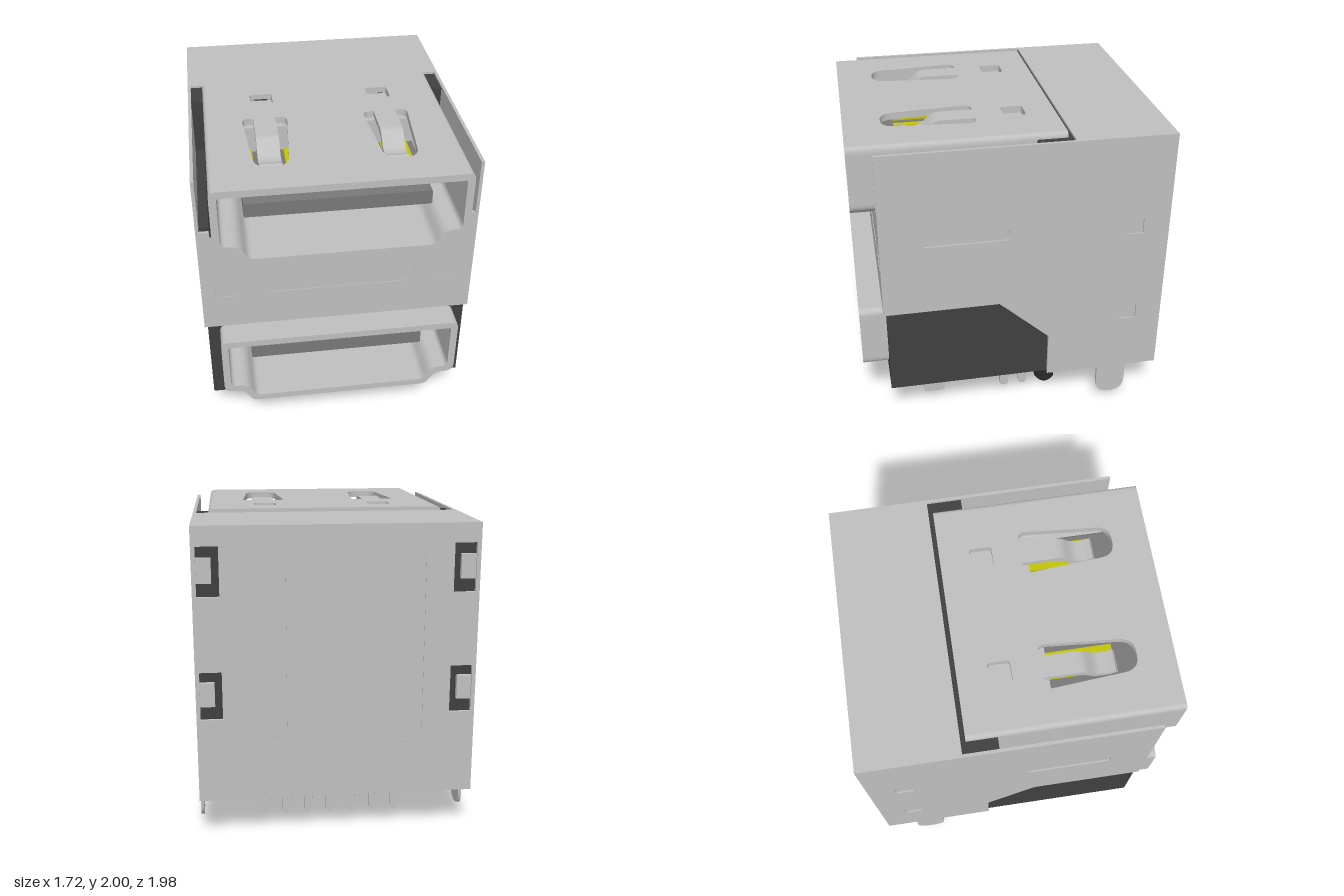
import * as THREE from 'three';

export function createModel() {
  const root = new THREE.Group();
  root.name = 'stackedConnector';
  const mat = (name, color) => {
    const m = new THREE.MeshStandardMaterial({ color });
    m.name = name;
    return m;
  };
  const metal = mat('silver metal', 0xbfbfbf);
  const dark = mat('dark plastic', 0x404040);
  const black = mat('black peg plastic', 0x2b2b2b);
  const grey = mat('grey tongue plastic', 0x787878);
  const gold = mat('yellow contact', 0xc2c20c);

  const add = (name, geo, material, x = 0, y = 0, z = 0) => {
    const m = new THREE.Mesh(geo, material);
    m.name = name;
    m.position.set(x, y, z);
    root.add(m);
    return m;
  };
  // Box given by its limits on each axis
  const box = (name, material, x0, x1, y0, y1, z0, z1) =>
    add(name, new THREE.BoxGeometry(x1 - x0, y1 - y0, z1 - z0), material,
      (x0 + x1) / 2, (y0 + y1) / 2, (z0 + z1) / 2);

  // Closed outline from [x, y, cornerRadius] points
  const outline = (pts, Type = THREE.Shape) => {
    const s = new Type();
    const n = pts.length;
    pts.forEach(([x, y, r = 0], i) => {
      const toward = ([px, py]) => {
        const d = Math.hypot(px - x, py - y);
        const t = Math.min(r / d, 0.5);
        return [x + (px - x) * t, y + (py - y) * t];
      };
      const a = toward(pts[(i + n - 1) % n]);
      const b = toward(pts[(i + 1) % n]);
      if (i === 0) s.moveTo(a[0], a[1]);
      else s.lineTo(a[0], a[1]);
      if (r > 0) s.quadraticCurveTo(x, y, b[0], b[1]);
    });
    s.closePath();
    return s;
  };
  const rect = (x0, x1, y0, y1, r = 0) => [[x0, y0, r], [x1, y0, r], [x1, y1, r], [x0, y1, r]];
  const extrude = (pts, depth, holes = []) => {
    const s = outline(pts);
    holes.forEach((h) => s.holes.push(outline(h, THREE.Path)));
    return new THREE.ExtrudeGeometry(s, { depth, bevelEnabled: false, curveSegments: 8 });
  };
  const mirrored = (half) => [...half, ...half.map(([x, y, r]) => [-x, y, r]).reverse()];
  const lift = (pts, dy) => pts.map(([x, y, r]) => [x, y + dy, r]);
  const SIDE = Math.PI / 2; // turns an outline in (-z, y) to face +x

  // Port profiles, bottom at y = 0
  const outerHalf = [[0.58, 0, 0.04], [0.64, 0.1, 0.05], [0.765, 0.1, 0.06], [0.765, 0.53, 0.045]];
  const innerHalf = [[0.555, 0.045, 0.03], [0.615, 0.145, 0.05], [0.72, 0.145, 0.04], [0.72, 0.485, 0.01]];
  const outer = mirrored(outerHalf);
  const inner = mirrored(innerHalf);
  const LOW = 0.335, HIGH = 1.47;

  // Plastic core: solid back, lower surround and middle block with a port notch
  box('coreBack', dark, -0.84, 0.84, 0.28, 1.965, -0.95, -0.14);
  add('coreLower', extrude(rect(-0.84, 0.84, 0.28, 0.88), 0.96, [lift(outer, LOW)]), dark, 0, 0, -0.14);
  const notch = [[0.78, 1.56, 0.05], [0.645, 1.56, 0.05], [0.585, 1.46, 0.04]];
  const notched = (w, bottom, top) => [
    [-w, bottom], [w, bottom], [w, top], [0.78, top], ...notch,
    ...notch.map(([x, y, r]) => [-x, y, r]).reverse(), [-0.78, top], [-w, top],
  ];
  add('coreMiddle', extrude(notched(0.84, 0.88, 1.61), 0.91), dark, 0, 0, -0.14);

  // Lower port shell
  add('lowerPortShell', extrude(outer, 1.19, [inner]), metal, 0, LOW, -0.2);
  add('lowerPortBack', extrude(inner, 0.42), metal, 0, LOW, -0.2);

  // Upper port shell: open channel plus a top plate with cutouts
  const channel = [
    [0.7, 0.53], [0.765, 0.53, 0.045], [0.765, 0.1, 0.06], [0.64, 0.1, 0.05], [0.58, 0, 0.04],
    [-0.58, 0, 0.04], [-0.64, 0.1, 0.05], [-0.765, 0.1, 0.06], [-0.765, 0.53, 0.045], [-0.7, 0.53],
    [-0.7, 0.485], ...inner.slice(4), ...inner.slice(0, 4), [0.7, 0.485],
  ];
  add('upperPortShell', extrude(channel, 1.32), metal, 0, HIGH, -0.33);
  add('upperPortBack', extrude(inner, 0.55), metal, 0, HIGH, -0.33);
  const cutouts = [];
  for (const c of [-0.385, 0.385]) {
    cutouts.push(rect(c - 0.072, c + 0.072, 0.0, 0.14, 0.025));
    cutouts.push([[c - 0.1, -0.76, 0.09], [c + 0.1, -0.76, 0.09], [c + 0.145, -0.18, 0.05], [c - 0.145, -0.18, 0.05]]);
  }
  const top = add('upperPortTop', extrude(rect(-0.7, 0.7, -0.99, 0.33), 0.045, cutouts), metal, 0, 1.955, 0);
  top.rotation.x = -Math.PI / 2;

  // Bent spring fingers in the top cutouts
  const finger = [
    [-0.17, 2.0], [-0.17, 1.965], [-0.41, 1.965, 0.04], [-0.51, 1.89, 0.04], [-0.6, 1.89, 0.03],
    [-0.645, 1.915], [-0.63, 1.94], [-0.59, 1.92, 0.02], [-0.52, 1.92, 0.04], [-0.43, 2.0, 0.04],
  ];
  for (const c of [-0.385, 0.385]) {
    add('springFinger', extrude(finger, 0.14), metal, c - 0.07, 0, 0).rotation.y = SIDE;
  }

  // Tongues with contacts above and below
  for (const y of [0.55, 1.69]) {
    add('tongue', extrude(rect(-0.57, 0.57, 0, 0.095, 0.012), 0.6), grey, 0, y, 0.21);
    for (let i = -4; i <= 4; i++) {
      const x = i * 0.125;
      box('contact', gold, x - 0.025, x + 0.025, y - 0.015, y + 0.11, 0.21, 0.655);
    }
  }

  // Front plate with flush inlays
  const disc = (cx, cy, r) => rect(cx - r, cx + r, cy - r, cy + r, r * 1.0);
  const frontHoles = [rect(-0.485, 0.485, 1.13, 1.28, 0.075), disc(-0.685, 1.205, 0.09), disc(0.685, 1.205, 0.09)];
  add('frontPlate', extrude(notched(0.86, 0.88, 1.62), 0.02, frontHoles), metal, 0, 0, 0.82);
  frontHoles.forEach((h) => add('frontInlay', extrude(h, 0.016), metal, 0, 0, 0.82));

  // Side plates with recesses and a rounded solder leg
  const sidePts = [
    [-0.84, 0.88], [-0.1, 0.88], [0.23, 0.58], [0.23, 0.27], [0.58, 0.27], [0.58, 0.05, 0.1],
    [0.78, 0.05, 0.1], [0.78, 0.27], [0.99, 0.27], [0.99, 1.98], [-0.84, 1.98],
  ];
  const sideHoles = [
    rect(-0.58, -0.04, 1.35, 1.43, 0.012), rect(0.71, 0.82, 1.31, 1.41), rect(0.71, 0.82, 0.66, 0.76),
  ];
  for (const s of [1, -1]) {
    add('sidePlate', extrude(sidePts, 0.02, sideHoles), metal, s > 0 ? 0.84 : -0.86, 0, 0).rotation.y = SIDE;
    sideHoles.forEach((h) => {
      add('sideInlay', extrude(h, 0.01), metal, s > 0 ? 0.84 : -0.85, 0, 0).rotation.y = SIDE;
    });
  }

  // Rear top plate
  box('rearTopPlate', metal, -0.86, 0.86, 1.96, 1.98, -0.99, -0.36);

  // Back plate with long inlays, windows and latch tabs
  const slots = [], windows = [];
  for (const s of [1, -1]) {
    const span = (a, b) => (s > 0 ? [a, b] : [-b, -a]);
    slots.push(rect(...span(0.31, 0.53), 0.63, 1.84, 0.11));
    for (const y of [0.8, 1.56]) {
      windows.push(rect(...span(0.7, 0.835), y, y + 0.3));
      box('latchTab', metal, ...span(0.745, 0.84), y + 0.08, y + 0.23, -0.98, -0.95);
    }
  }
  add('backPlate', extrude(rect(-0.86, 0.86, 0.27, 1.98), 0.02, [...slots, ...windows]), metal, 0, 0, -0.99);
  slots.forEach((h) => add('backInlay', extrude(h, 0.016), metal, 0, 0, -0.986));
  box('coreFloor', dark, -0.84, 0.84, 0.28, 0.3, -0.97, -0.9);

  // Locating pegs
  const pegProfile = [[0, 0], [0.045, 0], [0.07, 0.03], [0.07, 0.28]].map(([x, y]) => new THREE.Vector2(x, y));
  for (const x of [-0.575, 0.575]) add('roundPeg', new THREE.LatheGeometry(pegProfile, 24), black, x, 0, -0.28);
  const keyPeg = new THREE.CylinderGeometry(0.09, 0.09, 0.155, 8).toNonIndexed();
  keyPeg.computeVertexNormals();
  add('centrePeg', keyPeg, black, 0, 0.205, 0.47).scale.z = 0.85;
  const keyTip = new THREE.CylinderGeometry(0.09, 0.05, 0.04, 8).toNonIndexed();
  keyTip.computeVertexNormals();
  add('centrePegTip', keyTip, black, 0, 0.108, 0.47).scale.z = 0.85;

  // Staggered contact pins
  const pin = extrude([[-0.02, 0.28], [-0.02, 0.06], [-0.008, 0.035], [0.008, 0.035], [0.02, 0.06], [0.02, 0.28]], 0.02);
  const rows = [[0.14, 6], [0, 7], [-0.14, 6], [-0.43, 6], [-0.57, 6], [-0.72, 7]];
  for (const [z, n] of rows) {
    for (let i = 0; i < n; i++) {
      add('pin', pin, metal, (n === 7 ? -0.407 : -0.335) + i * 0.143, 0, z - 0.01);
    }
  }

  // Shell solder tabs under both edges
  const tabs = [[-0.595, -0.45, 0.1], [-0.065, -0.005, 0.08], [0.065, 0.12, 0.08]];
  for (const x of [-0.69, 0.69]) {
    for (const [a, b, y] of tabs) {
      add('solderTab', extrude([[a, 0.29], [a, y, 0.03], [b, y, 0.03], [b, 0.29]], 0.024), metal, x - 0.012, 0, 0).rotation.y = SIDE;
    }
  }
  return root;
}
